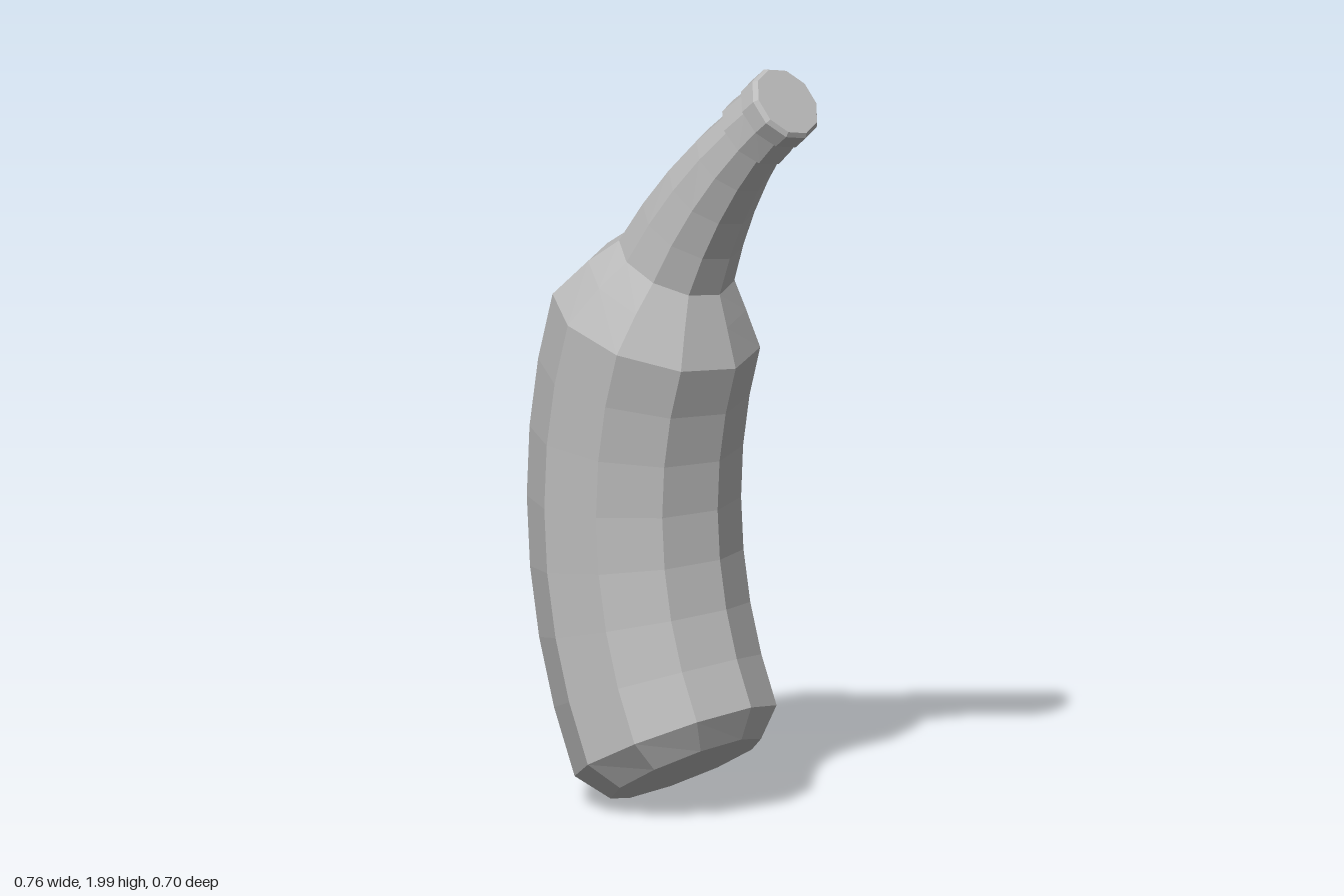
import * as THREE from 'three';

const SIDES = 10;
const RADIUS = 1.416;                 // radius of the bend
const ANGLE = THREE.MathUtils.degToRad(40.5); // heading of the bend in the xz plane
const ORIGIN = new THREE.Vector3(-0.115, 0.8, -0.09); // upright point of the axis

// Bends a straight shape (y = distance along the axis) around a circular arc.
function bend(geometry) {
  const p = geometry.attributes.position;
  const c = Math.cos(ANGLE), s = Math.sin(ANGLE);
  for (let i = 0; i < p.count; i++) {
    const x = p.getX(i), z = p.getZ(i), t = p.getY(i) / RADIUS;
    const u = x * c + z * s, w = z * c - x * s;
    const out = RADIUS - (RADIUS - u) * Math.cos(t);
    p.setXYZ(i,
      ORIGIN.x + out * c - w * s,
      ORIGIN.y + (RADIUS - u) * Math.sin(t),
      ORIGIN.z + out * s + w * c);
  }
  const flat = geometry.toNonIndexed();
  flat.computeVertexNormals();
  return flat;
}

// Rings between two [radius, distance] stations, both ends included.
function taper(from, to, steps) {
  return Array.from({ length: steps + 1 }, (_, i) => [
    THREE.MathUtils.lerp(from[0], to[0], i / steps),
    THREE.MathUtils.lerp(from[1], to[1], i / steps),
  ]);
}

export function createModel() {
  const group = new THREE.Group();
  const grey = new THREE.MeshStandardMaterial({ color: 0xbcbcbc, flatShading: true });
  grey.name = 'light grey';

  const parts = {
    // closed base, chamfer and long body
    body: [[0, -0.727], [0.208, -0.727], ...taper([0.275, -0.65], [0.275, 0.475], 7)],
    shoulder: [[0.275, 0.475], [0.213, 0.58], [0.157, 0.658]],
    neck: taper([0.157, 0.658], [0.09, 1.13], 4),
    // raised ring below the mouth
    collar: [[0.09, 1.13], [0.104, 1.132], [0.095, 1.215]],
    // lip with a small bevel and closed top
    cap: [[0.088, 1.215], [0.105, 1.218], [0.105, 1.268], [0.096, 1.28], [0, 1.28]],
  };

  for (const [name, profile] of Object.entries(parts)) {
    const points = profile.map(([r, y]) => new THREE.Vector2(r, y));
    const mesh = new THREE.Mesh(bend(new THREE.LatheGeometry(points, SIDES, Math.PI / 2)), grey);
    mesh.name = name;
    group.add(mesh);
  }
  return group;
}
